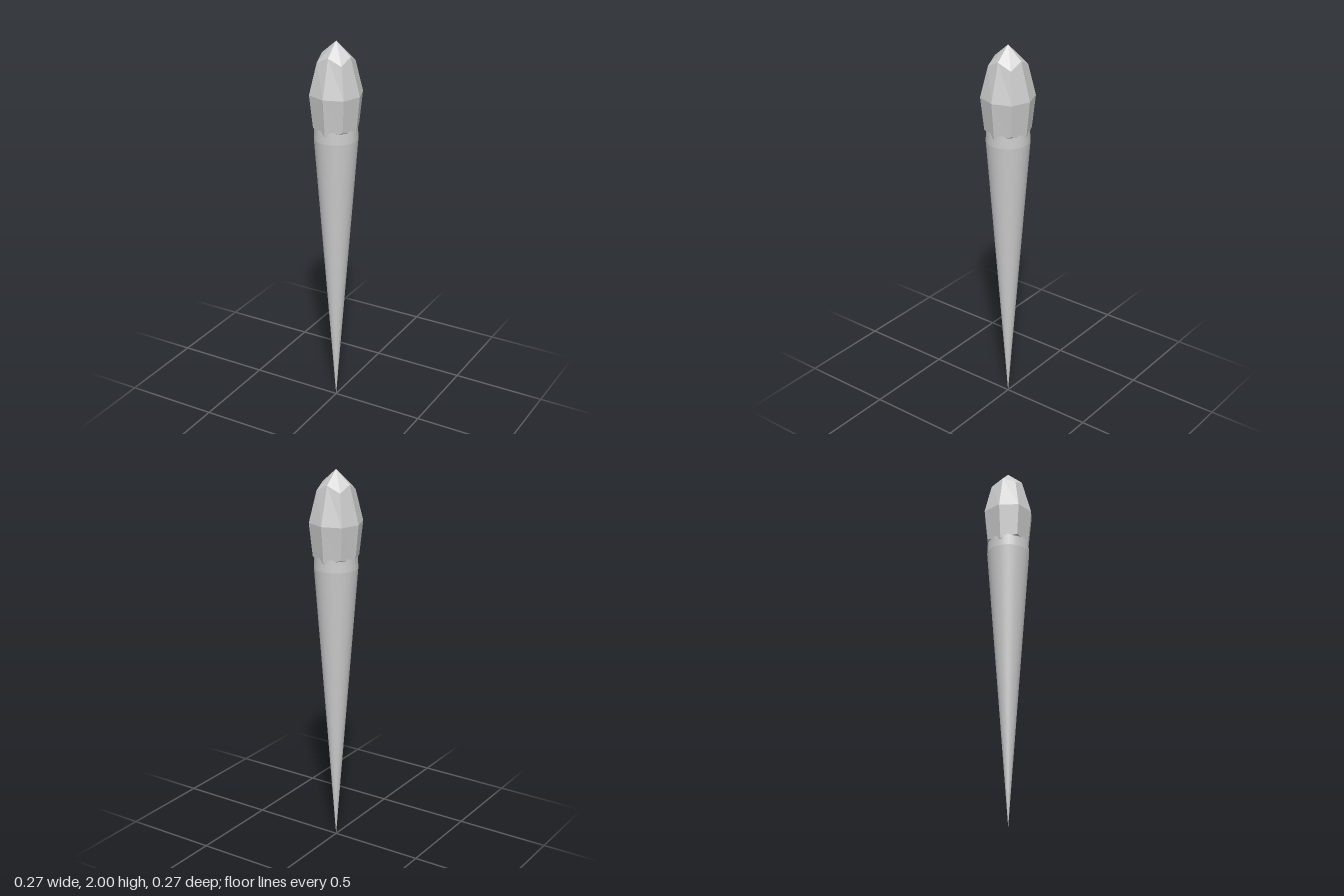
import * as THREE from 'three';

const V = (x, y) => new THREE.Vector2(x, y);

// Faceted knob: eight-sided rings whose corner points alternate in radius and height
function makeKnob() {
  // [radius, y] for points on the axes, then on the diagonals
  const axis = [[0, 1.47], [0.113, 1.54], [0.133, 1.735], [0.08, 1.93], [0, 2]];
  const diagonal = [[0, 1.47], [0.119, 1.565], [0.138, 1.735], [0.098, 1.897], [0, 2]];
  const geo = new THREE.LatheGeometry(axis.map(([r, y]) => V(r, y)), 8);
  const pos = geo.attributes.position;
  for (let s = 0; s <= 8; s++) {
    const profile = s % 2 ? diagonal : axis;
    const a = (s * Math.PI) / 4;
    profile.forEach(([r, y], row) =>
      pos.setXYZ(s * 5 + row, r * Math.sin(a), y, r * Math.cos(a)));
  }
  const flat = geo.toNonIndexed();
  flat.computeVertexNormals();
  return flat;
}

export function createModel() {
  const group = new THREE.Group();
  const grey = new THREE.MeshStandardMaterial({ color: 0xcccccc });
  grey.name = 'light grey';

  const add = (name, geometry) => {
    const mesh = new THREE.Mesh(geometry, grey);
    mesh.name = name;
    group.add(mesh);
  };

  // Long smooth spike, point down
  add('spike', new THREE.LatheGeometry([V(0, 0), V(0.002, 0.025), V(0.112, 1.5)], 32));
  // Slightly tapered collar closing the spike under the knob
  add('collar', new THREE.LatheGeometry([V(0.112, 1.5), V(0.109, 1.565)], 32));
  add('collarCap', new THREE.LatheGeometry([V(0.109, 1.565), V(0, 1.565)], 32));
  add('knob', makeKnob());

  return group;
}
